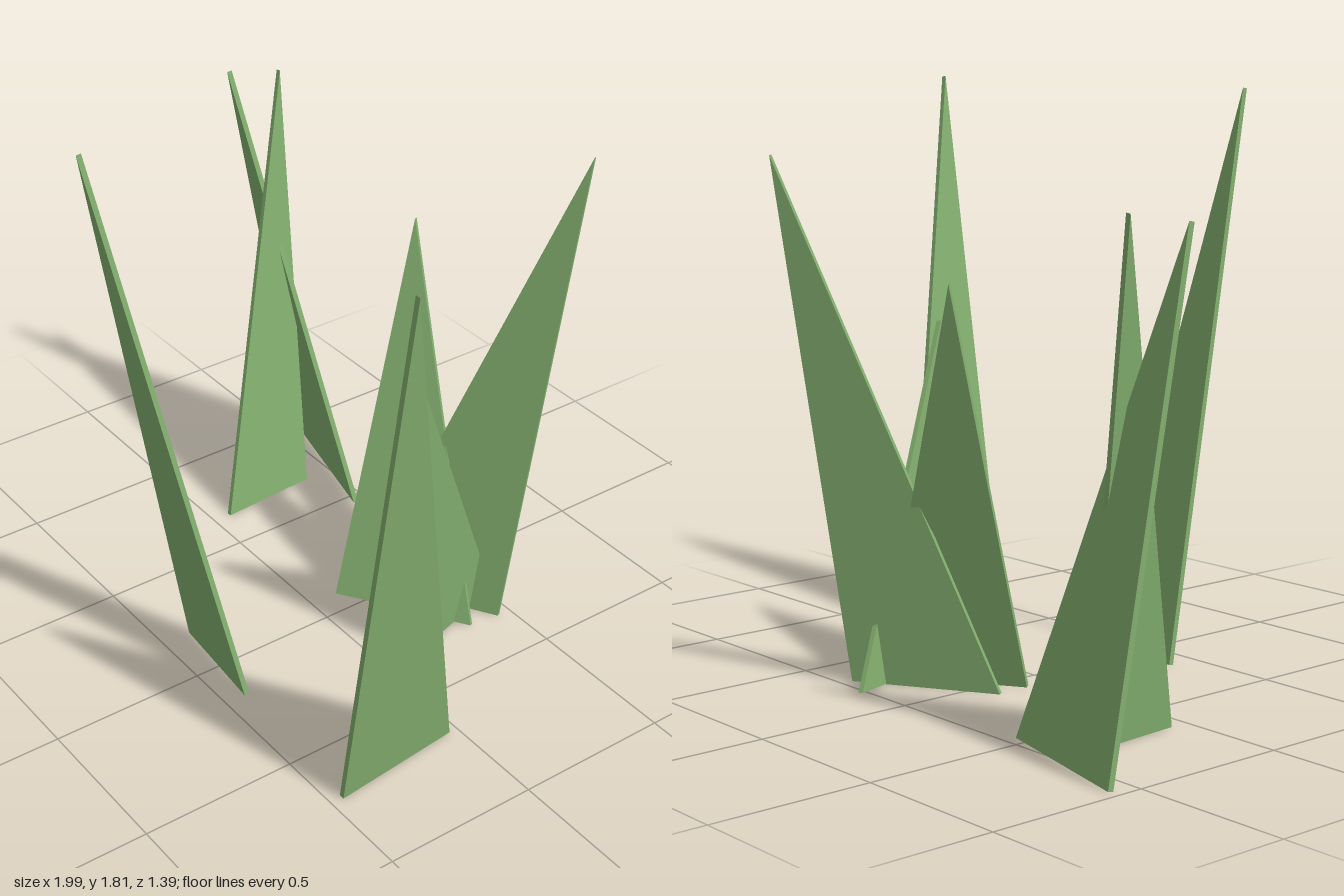
import * as THREE from 'three';

const THICKNESS = 0.016;

// Each blade: two ground corners [x, z] and a tip [x, y, z]
const BLADES = [
  { a: [0.66, 0.03], b: [0.705, 0.46], tip: [0.99, 1.81, 0.45] },
  { a: [-0.195, 0.395], b: [0.165, 0.425], tip: [-0.197, 1.78, 0.69] },
  { a: [-0.97, -0.58], b: [-0.46, -0.457], tip: [-0.995, 1.46, -0.33] },
  { a: [-0.655, -0.06], b: [-0.68, -0.40], tip: [-0.875, 1.48, -0.44] },
  { a: [-0.09, -0.21], b: [0.315, -0.455], tip: [0.368, 1.595, -0.69] },
  { a: [-0.085, -0.10], b: [0.305, -0.35], tip: [-0.155, 1.245, -0.45] },
  { a: [0.315, -0.10], b: [0.19, -0.52], tip: [0.41, 1.06, -0.04] },
];

// Thin triangular slab standing on its base edge and leaning to its tip
function makeBlade({ a, b, tip }, material) {
  const start = new THREE.Vector3(a[0], 0, a[1]);
  const along = new THREE.Vector3(b[0], 0, b[1]).sub(start);
  const width = along.length();
  along.normalize();
  const toTip = new THREE.Vector3(...tip).sub(start);
  const normal = along.clone().cross(toTip).normalize();
  const up = normal.clone().cross(along);

  const outline = new THREE.Shape([
    new THREE.Vector2(0, 0),
    new THREE.Vector2(width, 0),
    new THREE.Vector2(toTip.dot(along), toTip.dot(up)),
  ]);
  const geometry = new THREE.ExtrudeGeometry(outline, { depth: THICKNESS, bevelEnabled: false });
  geometry.translate(0, 0, -THICKNESS / 2);
  geometry.applyMatrix4(new THREE.Matrix4().makeBasis(along, up, normal).setPosition(start));
  // Rest the lower edge on the ground
  geometry.computeBoundingBox();
  geometry.translate(0, -geometry.boundingBox.min.y, 0);
  return new THREE.Mesh(geometry, material);
}

export function createModel() {
  const group = new THREE.Group();
  group.name = 'grassTuft';
  const green = new THREE.MeshStandardMaterial({ color: 0x84b070, flatShading: true });
  BLADES.forEach((spec, i) => {
    const blade = makeBlade(spec, green);
    blade.name = `grassBlade${i + 1}`;
    group.add(blade);
  });
  return group;
}
